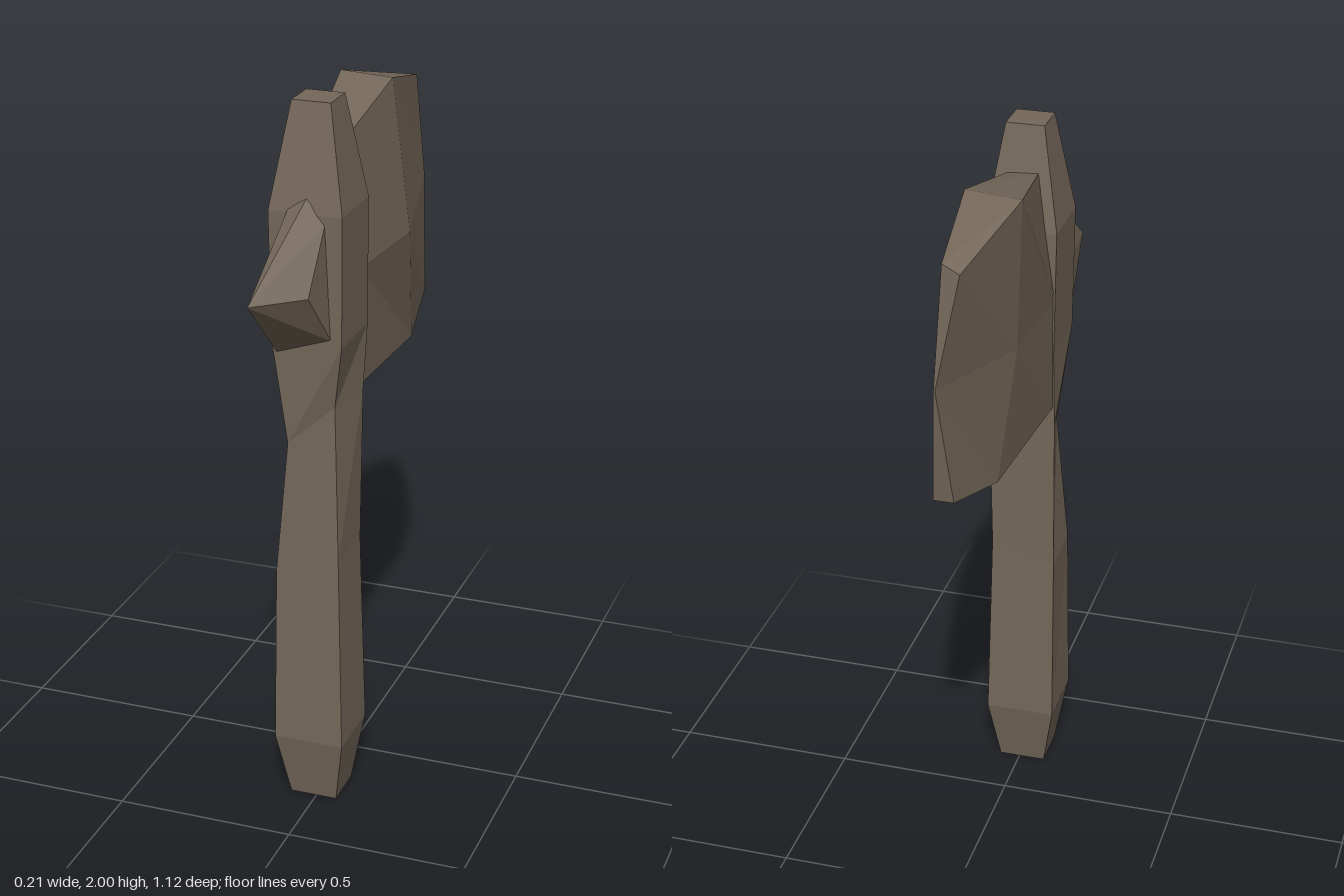
import * as THREE from 'three';
import { ConvexGeometry } from 'three/addons/geometries/ConvexGeometry.js';

// Skin a series of equal-length rings of [x, y, z] corners and cap both ends
function loft(rings) {
  const pos = [];
  const tri = (a, b, c) => pos.push(...a, ...b, ...c);
  const n = rings[0].length;
  for (let r = 0; r < rings.length - 1; r++) {
    const a = rings[r], b = rings[r + 1];
    for (let i = 0; i < n; i++) {
      const j = (i + 1) % n;
      tri(a[i], a[j], b[j]);
      tri(a[i], b[j], b[i]);
    }
  }
  const first = rings[0], last = rings[rings.length - 1];
  for (let k = 1; k < n - 1; k++) {
    const i = (k + 1) % n, j = (k + 2) % n;
    tri(last[1], last[i], last[j]);
    tri(first[1], first[j], first[i]);
  }
  const geometry = new THREE.BufferGeometry();
  geometry.setAttribute('position', new THREE.Float32BufferAttribute(pos, 3));
  geometry.computeVertexNormals();
  return geometry;
}

// Square handle section: front left, front right, back right, back left
const square = (y, x0, x1, z0, z1) => [[x0, y, z1], [x1, y, z1], [x1, y, z0], [x0, y, z0]];

export function createModel() {
  const group = new THREE.Group();
  const stone = new THREE.MeshStandardMaterial({ color: 0x75685a });
  stone.name = 'weatheredBrown';

  const add = (name, geometry) => {
    const mesh = new THREE.Mesh(geometry, stone);
    mesh.name = name;
    group.add(mesh);
  };

  // Handle, slightly twisted at the neck, swelling again through the head
  add('handle', loft([
    square(0, -0.075, 0.058, 0.16, 0.285),
    square(0.19, -0.108, 0.088, 0.125, 0.32),
    [[-0.1, 0.7, 0.315], [0.073, 0.75, 0.303], [0.075, 0.75, 0.134], [-0.107, 0.7, 0.128]],
    [[-0.065, 1.08, 0.31], [0.06, 1.19, 0.29], [0.085, 1.19, 0.14], [-0.106, 1.15, 0.125]],
    square(1.37, -0.103, 0.09, 0.12, 0.32),
    square(1.72, -0.108, 0.092, 0.12, 0.32),
    square(2, -0.06, 0.045, 0.167, 0.272),
  ]));

  // Blade, from the handle back to the cutting edge
  add('blade', loft([
    [[0.035, 1.87, 0.145], [0.08, 1.53, 0.14], [0.085, 1.21, 0.14],
      [-0.1, 1.205, 0.13], [-0.1, 1.53, 0.14], [-0.05, 1.875, 0.145]],
    [[0.05, 1.95, -0.19], [0.105, 1.53, -0.18], [0.07, 1.175, -0.31],
      [-0.06, 1.18, -0.28], [-0.09, 1.53, -0.2], [-0.108, 1.95, -0.22]],
    [[0.017, 1.88, -0.495], [0.022, 1.57, -0.56], [0.04, 1.24, -0.52],
      [-0.015, 1.24, -0.52], [0.018, 1.57, -0.56], [-0.035, 1.865, -0.515]],
  ]));

  // Skewed wedge spike on the front
  add('spike', new ConvexGeometry([
    [-0.07, 1.545, 0.56], [0.045, 1.54, 0.44],
    [-0.005, 1.76, 0.315], [-0.055, 1.73, 0.315], [0.045, 1.7, 0.315],
    [0.06, 1.385, 0.315], [-0.09, 1.335, 0.315], [-0.088, 1.54, 0.315],
  ].map((p) => new THREE.Vector3(...p))));

  return group;
}
